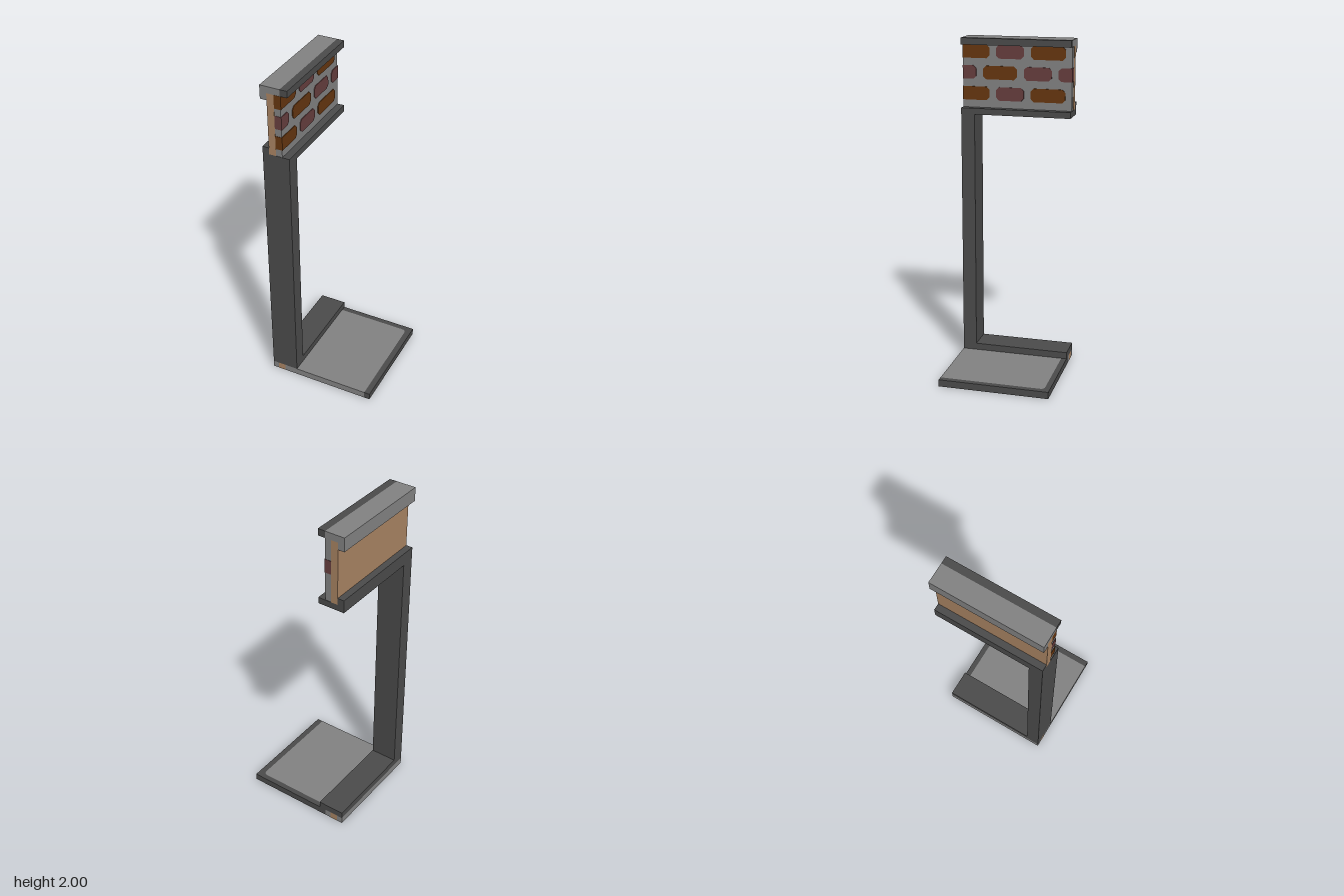
import * as THREE from 'three';

export function createModel() {
  const model = new THREE.Group();
  const mat = (name, color) => new THREE.MeshStandardMaterial({ name, color });
  const light = mat('light grey', 0x828282);
  const dark = mat('dark grey', 0x4b4b4b);
  const tan = mat('tan', 0xa88362);
  const brown = mat('brown brick', 0x663610);
  const red = mat('red brick', 0x673e3e);

  const add = (name, geometry, material, parent = model) => {
    const mesh = new THREE.Mesh(geometry, material);
    mesh.name = name;
    parent.add(mesh);
    return mesh;
  };
  // Box given by its minimum and maximum on each axis
  const box = (name, material, x0, x1, y0, y1, z0, z1, parent) => {
    const g = new THREE.BoxGeometry(x1 - x0, y1 - y0, z1 - z0);
    g.translate((x0 + x1) / 2, (y0 + y1) / 2, (z0 + z1) / 2);
    return add(name, g, material, parent);
  };
  const group = (name) => {
    const g = new THREE.Group();
    g.name = name;
    model.add(g);
    return g;
  };

  const E = 0.333; // half width and depth
  const L = -0.333, R = -0.168; // x range of the frame

  // Base slab: light floor with a dark border on two sides and a tan strip
  const base = group('base');
  const H = 0.042, bx = 0.297, bz = 0.3, r = 0.028;
  box('baseEdge', light, L, -0.298, 0, H, -E, E, base);
  box('baseTanStrip', tan, -0.298, -0.25, 0, H, -E, E, base);
  box('baseInnerStrip', light, -0.25, -0.21, 0, H, -E, E, base);
  const flat = (shape) => new THREE.ExtrudeGeometry(shape, { depth: H, bevelEnabled: false, curveSegments: 5 })
    .rotateX(-Math.PI / 2); // shape y becomes -z
  const floor = new THREE.Shape();
  floor.moveTo(-0.21, -E);
  floor.lineTo(bx, -E);
  floor.lineTo(bx, bz - r);
  floor.quadraticCurveTo(bx, bz, bx - r, bz);
  floor.lineTo(-0.21, bz);
  floor.closePath();
  add('baseFloor', flat(floor), light, base);
  const border = new THREE.Shape();
  border.moveTo(bx, -E);
  border.lineTo(E, -E);
  border.lineTo(E, E);
  border.lineTo(-0.21, E);
  border.lineTo(-0.21, bz);
  border.lineTo(bx - r, bz);
  border.quadraticCurveTo(bx, bz, bx, bz - r);
  border.closePath();
  add('baseBorder', flat(border), dark, base);

  // Dark frame: sill, post, lintel and its outer lip
  const frame = group('frame');
  box('sill', dark, L, R, H, 0.083, -E, E, frame);
  box('post', dark, L, R, 0.083, 1.548, 0.25, E, frame);
  box('lintel', dark, L, R, 1.548, 1.585, -E, E, frame);
  box('lintelLip', dark, L, -0.293, 1.585, 1.625, -E, E, frame);

  // Cap over the wall
  const cap = group('cap');
  box('capTop', light, L, -0.213, 1.96, 2, -E, E, cap);
  box('capTrim', dark, -0.213, R, 1.96, 2, -E, E, cap);
  box('capLip', light, L, -0.293, 1.918, 1.96, -E, E, cap);

  // Wall: tan backing and mortar slab
  const wall = group('wall');
  box('wallBacking', tan, -0.293, -0.25, 1.585, 1.96, -E, E, wall);
  box('mortar', light, -0.25, -0.212, 1.585, 1.96, -0.331, 0.331, wall);

  // Bricks with cut corners; an end on the wall's edge stays square.
  // u runs along -z.
  const brick = (material, u0, u1, y0) => {
    const y1 = y0 + 0.08;
    const a = u0 <= -E ? 0 : 0.018, b = u1 >= E ? 0 : 0.018;
    const pts = [[u0 + a, y0], [u1 - b, y0], [u1, y0 + b], [u1, y1 - b],
      [u1 - b, y1], [u0 + a, y1], [u0, y1 - a], [u0, y0 + a]];
    const shape = new THREE.Shape(pts.map(([u, y]) => new THREE.Vector2(u, y)));
    const g = new THREE.ExtrudeGeometry(shape, { depth: 0.004, bevelEnabled: false });
    g.rotateY(Math.PI / 2).translate(-0.212, 0, 0);
    add('brick', g, material, wall);
    // Continue edge bricks around the ends of the wall
    if (!a) box('brickEnd', material, -0.25, -0.212, y0, y1, 0.331, E, wall);
    if (!b) box('brickEnd', material, -0.25, -0.212, y0, y1, -E, -0.331, wall);
  };
  for (const y of [1.63, 1.879]) {
    brick(brown, -E, -0.168, y);
    brick(red, -0.127, 0.042, y);
    brick(brown, 0.084, 0.292, y);
  }
  brick(red, -E, -0.25, 1.755);
  brick(brown, -0.208, 0, 1.755);
  brick(red, 0.042, 0.21, 1.755);
  brick(red, 0.25, E, 1.755);

  return model;
}
